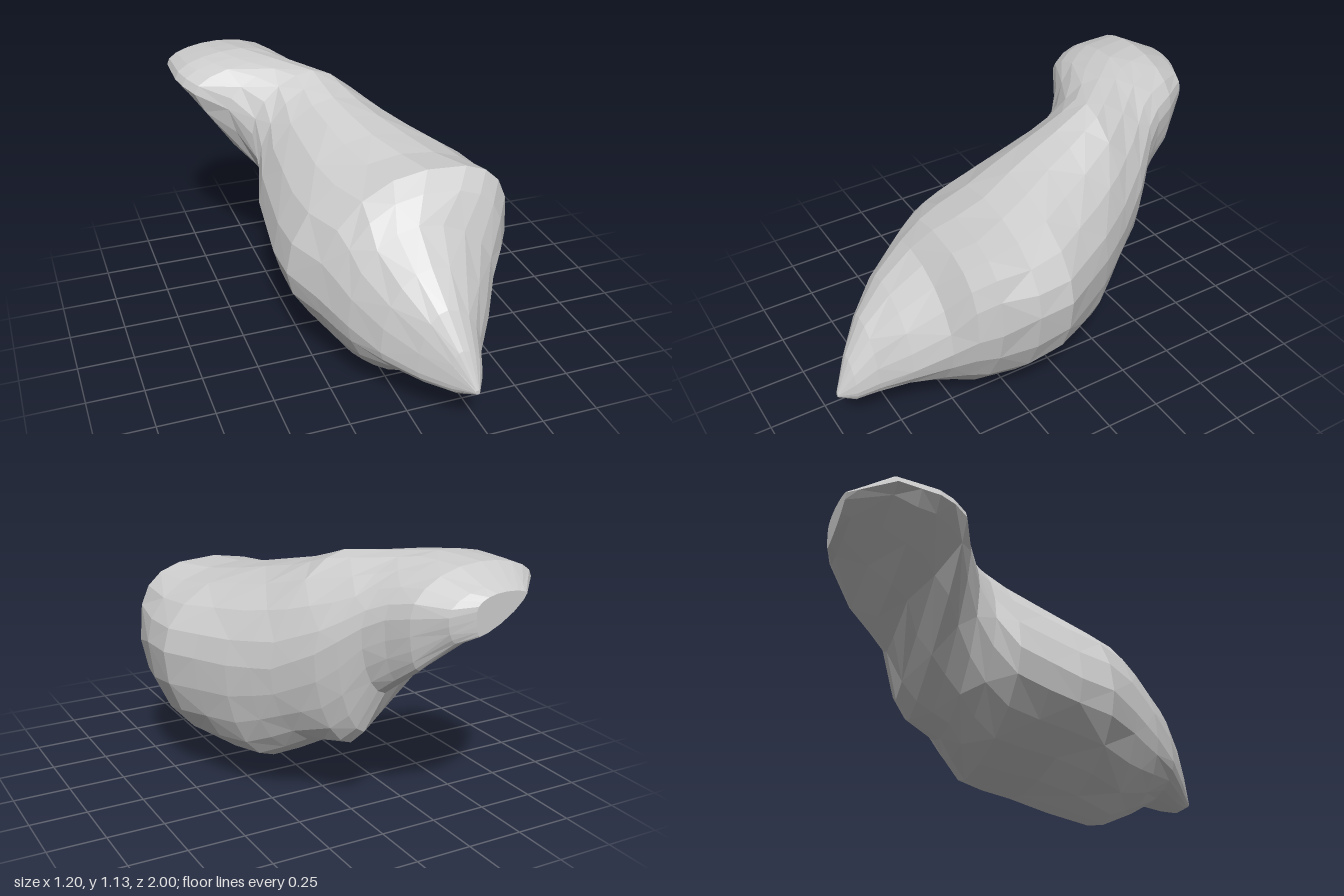
import * as THREE from 'three';

// Rails running back to front along the body: [z, x, y]
const leftEdge = [[-1, -0.45, 1.02], [-0.84, -0.6, 1.03], [-0.64, -0.6, 1.02], [-0.53, -0.56, 1.0],
  [-0.4, -0.34, 0.9], [-0.32, -0.305, 0.76], [-0.2, -0.35, 0.58], [0.1, -0.37, 0.48], [0.26, -0.36, 0.46],
  [0.42, -0.28, 0.42], [0.58, -0.2, 0.36], [0.7, -0.13, 0.31], [0.87, 0.03, 0.25], [1, 0.18, 0.23]];
const rightEdge = [[-1, -0.22, 0.98], [-0.97, -0.13, 0.96], [-0.82, -0.02, 0.93], [-0.7, 0.03, 0.9],
  [-0.53, 0.19, 0.74], [-0.36, 0.31, 0.64], [-0.2, 0.42, 0.62], [0.1, 0.59, 0.62], [0.26, 0.6, 0.62],
  [0.42, 0.575, 0.58], [0.5, 0.52, 0.54], [0.58, 0.45, 0.46], [0.7, 0.38, 0.38], [0.85, 0.27, 0.28],
  [0.92, 0.25, 0.25], [1, 0.2, 0.23]];
const topEdge = [[-1, -0.35, 1.04], [-0.84, -0.35, 1.12], [-0.67, -0.29, 1.135], [-0.36, -0.03, 1.1],
  [-0.2, 0, 1.04], [0, 0.05, 0.99], [0.16, 0.1, 0.95], [0.3, 0.17, 0.93], [0.42, 0.2, 0.93],
  [0.5, 0.15, 0.865], [0.58, 0.1, 0.77], [0.74, 0.1, 0.64], [0.84, 0.12, 0.53], [0.93, 0.15, 0.39], [1, 0.19, 0.24]];
const bottomEdge = [[-1, -0.24, 0.88], [-0.97, -0.18, 0.86], [-0.82, -0.07, 0.7], [-0.68, -0.06, 0.6],
  [-0.64, -0.04, 0.55], [-0.59, 0, 0.39], [-0.52, 0.02, 0.32], [-0.36, 0.06, 0.28], [-0.2, 0.2, 0.17],
  [0, 0.25, 0.155], [0.16, 0.18, 0.13], [0.26, 0.1, 0.07], [0.42, 0.03, 0], [0.58, 0.05, 0.08],
  [0.74, 0.12, 0.18], [0.9, 0.18, 0.16], [1, 0.19, 0.22]];
// Corner shape along z (below 1 is boxy, 1 round, 2 straight):
// [z, upper right, upper left, lower left, lower right]
const corners = [[-1, 1, 1, 1.5, 1], [-0.84, 1, 1, 1.8, 0.95], [-0.72, 1.1, 1, 1.5, 1], [-0.59, 1.2, 1, 1.9, 1.1],
  [-0.36, 1.2, 1.1, 1.2, 1], [0, 1.1, 1.1, 1, 1], [0.26, 0.95, 1.05, 1.1, 1], [0.42, 0.65, 1, 1.3, 1.2],
  [0.5, 0.7, 1, 1.2, 1.2], [0.6, 1.1, 1, 1.1, 1.2], [0.85, 1, 0.95, 1, 1.1], [1, 1, 1, 1, 1]];
const stations = [-1, -0.96, -0.84, -0.74, -0.66, -0.59, -0.52, -0.44, -0.36, -0.28, -0.18, -0.04, 0.1, 0.26,
  0.42, 0.5, 0.58, 0.72, 0.84, 0.93, 1];
const SIDES = 20;

// Linear sample of a rail, without its z
function sample(rail, z) {
  let i = 0;
  while (i < rail.length - 2 && z > rail[i + 1][0]) i++;
  const [a, b] = [rail[i], rail[i + 1]];
  const t = (z - a[0]) / (b[0] - a[0]);
  return a.slice(1).map((v, k) => THREE.MathUtils.lerp(v, b[k + 1], t));
}

// One cross-section: four superellipse quarters joining the rails
function ring(z) {
  const [L, R, T, B] = [leftEdge, rightEdge, topEdge, bottomEdge].map((r) => sample(r, z));
  const power = sample(corners, z);
  const points = [];
  for (let j = 0; j < SIDES; j++) {
    const q = Math.floor((j * 4) / SIDES);
    const a = (j / SIDES) * Math.PI * 2;
    const c = Math.abs(Math.cos(a)) ** power[q];
    const s = Math.abs(Math.sin(a)) ** power[q];
    const side = q === 0 || q === 3 ? R : L;
    const end = q < 2 ? T : B;
    points.push(new THREE.Vector3(
      end[0] + (side[0] - end[0]) * c,
      side[1] + (end[1] - side[1]) * s, z));
  }
  return points;
}

function bodyGeometry() {
  const rings = stations.map(ring);
  const positions = [];
  const tri = (...corner) => corner.forEach((p) => positions.push(p.x, p.y, p.z));
  const middle = (points) => points.reduce((sum, p) => sum.add(p), new THREE.Vector3()).divideScalar(SIDES);
  const first = rings[0];
  const last = rings[rings.length - 1];
  const back = middle(first);
  const front = middle(last);
  for (let j = 0; j < SIDES; j++) {
    const k = (j + 1) % SIDES;
    // Skin, with alternating diagonals
    for (let i = 0; i < rings.length - 1; i++) {
      const [a, b, c, d] = [rings[i][j], rings[i][k], rings[i + 1][k], rings[i + 1][j]];
      if ((i + j) % 2) { tri(a, b, c); tri(a, c, d); } else { tri(a, b, d); tri(b, c, d); }
    }
    // End caps
    tri(back, first[k], first[j]);
    tri(front, last[j], last[k]);
  }
  const geometry = new THREE.BufferGeometry();
  geometry.setAttribute('position', new THREE.Float32BufferAttribute(positions, 3));
  geometry.computeVertexNormals();
  return geometry;
}

export function createModel() {
  const group = new THREE.Group();
  group.name = 'organ';
  const material = new THREE.MeshStandardMaterial({ color: 0xcccccc, flatShading: true });
  const body = new THREE.Mesh(bodyGeometry(), material);
  body.name = 'bodyAndNeck';
  group.add(body);
  return group;
}
